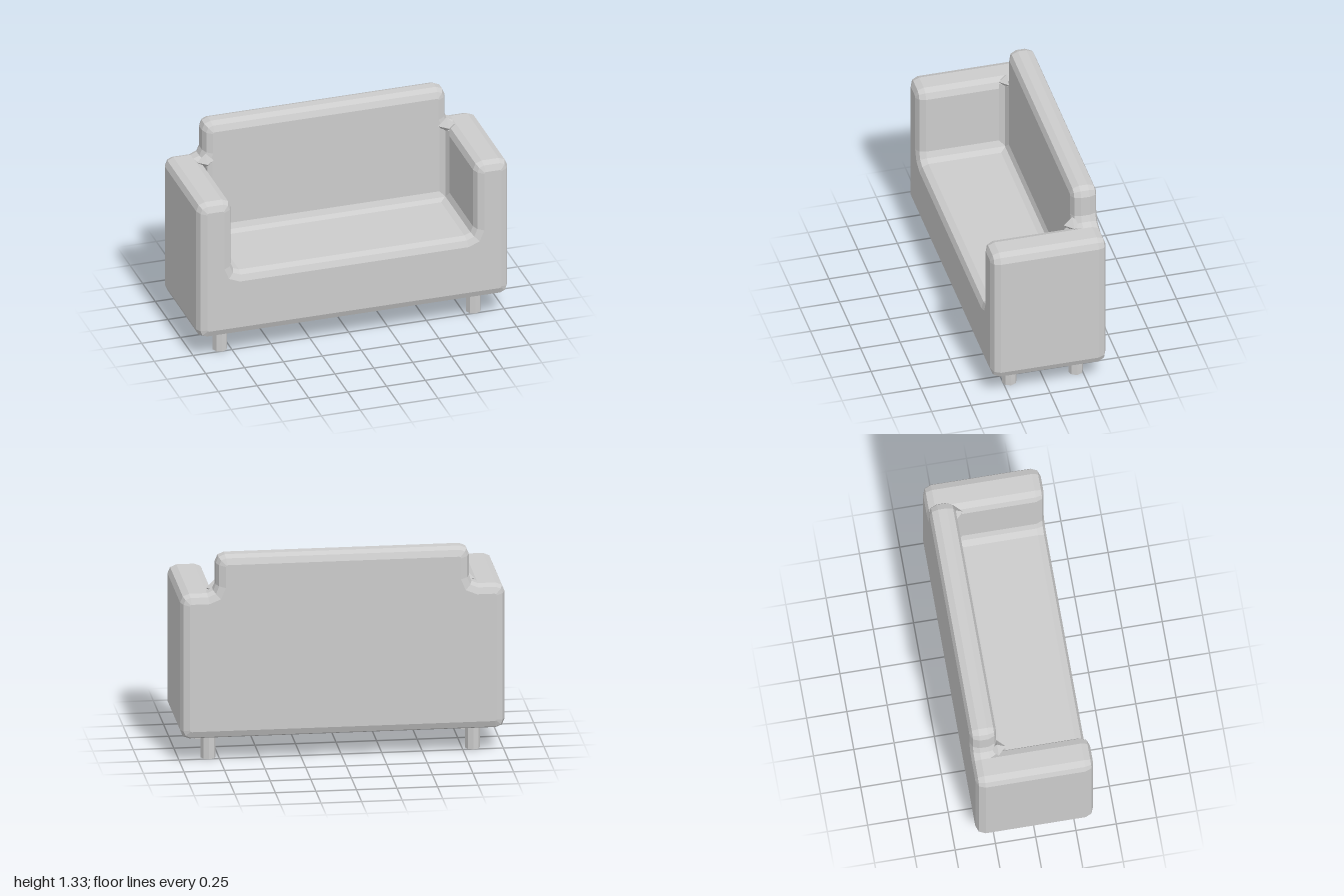
import * as THREE from 'three';

const R = 0.055; // edge rounding, two facets per corner
const K = 0.293;

// Polygon with every right-angled corner (convex or concave) cut into two facets
function roundedShape(corners, r = R) {
  const pts = corners.map(([x, y]) => new THREE.Vector2(x, y));
  const out = [];
  pts.forEach((p, i) => {
    const a = pts.at(i - 1).clone().sub(p).setLength(r);
    const b = pts[(i + 1) % pts.length].clone().sub(p).setLength(r);
    out.push(p.clone().add(a), p.clone().addScaledVector(a, K).addScaledVector(b, K), p.clone().add(b));
  });
  return new THREE.Shape(out);
}

// Upholstered block: outline extruded from z0 to z1 with softened front and back rims
function paddedBlock(corners, z0, z1) {
  const geo = new THREE.ExtrudeGeometry(roundedShape(corners), {
    depth: z1 - z0 - 2 * R, bevelEnabled: true, bevelThickness: R,
    bevelSize: R, bevelOffset: -R, bevelSegments: 2,
  });
  return geo.translate(0, 0, z0 + R);
}

// Concave strip that softens an inside corner, centred along z
function filletStrip(length, r = 0.05) {
  const shape = new THREE.Shape([[0, 0], [r, 0], [K * r, K * r], [0, r]].map(([x, y]) => new THREE.Vector2(x, y)));
  return new THREE.ExtrudeGeometry(shape, { depth: length, bevelEnabled: false }).translate(0, 0, -length / 2);
}

export function createModel() {
  const model = new THREE.Group();
  model.name = 'sofa';
  const grey = new THREE.MeshStandardMaterial({ color: 0xcccccc });
  grey.name = 'light grey';
  const add = (name, geo, x = 0, y = 0, z = 0) => {
    const mesh = new THREE.Mesh(geo, grey);
    mesh.name = name;
    mesh.position.set(x, y, z);
    model.add(mesh);
    return mesh;
  };

  const bottom = 0.155, seat = 0.58, arm = 1.08, top = 1.325;
  const inner = 0.78, half = 0.365, backFront = -0.2;

  // Seat and both arms as one U-shaped block
  add('seatAndArms', paddedBlock([
    [-1, bottom], [1, bottom], [1, arm], [inner, arm],
    [inner, seat], [-inner, seat], [-inner, arm], [-1, arm],
  ], -half + 0.02, half));

  // Full-width back with stepped shoulders
  add('backrest', paddedBlock([
    [-1, bottom], [1, bottom], [1, arm], [inner, arm],
    [inner, top], [-inner, top], [-inner, arm], [-1, arm],
  ], -half, backFront));

  // Inside corners: seat to back, then arms to back
  add('seatFillet', filletStrip(inner * 2).rotateY(-Math.PI / 2), 0, seat, backFront);
  const h = arm - seat - 0.02;
  for (const side of [-1, 1]) {
    const strip = filletStrip(h).rotateX(Math.PI / 2);
    if (side > 0) strip.rotateY(-Math.PI / 2);
    add('armFillet', strip, side * inner, seat + h / 2, backFront);
    // Faceted knot where arm, shoulder and back meet
    add('cornerKnot', new THREE.OctahedronGeometry(0.053), side * 0.775, arm, backFront);
    // Octagonal legs
    for (const z of [-0.21, 0.21]) {
      const leg = new THREE.CylinderGeometry(0.046, 0.046, 0.17, 8).toNonIndexed();
      leg.computeVertexNormals();
      add('leg', leg, side * 0.815, 0.085, z);
    }
  }
  return model;
}
